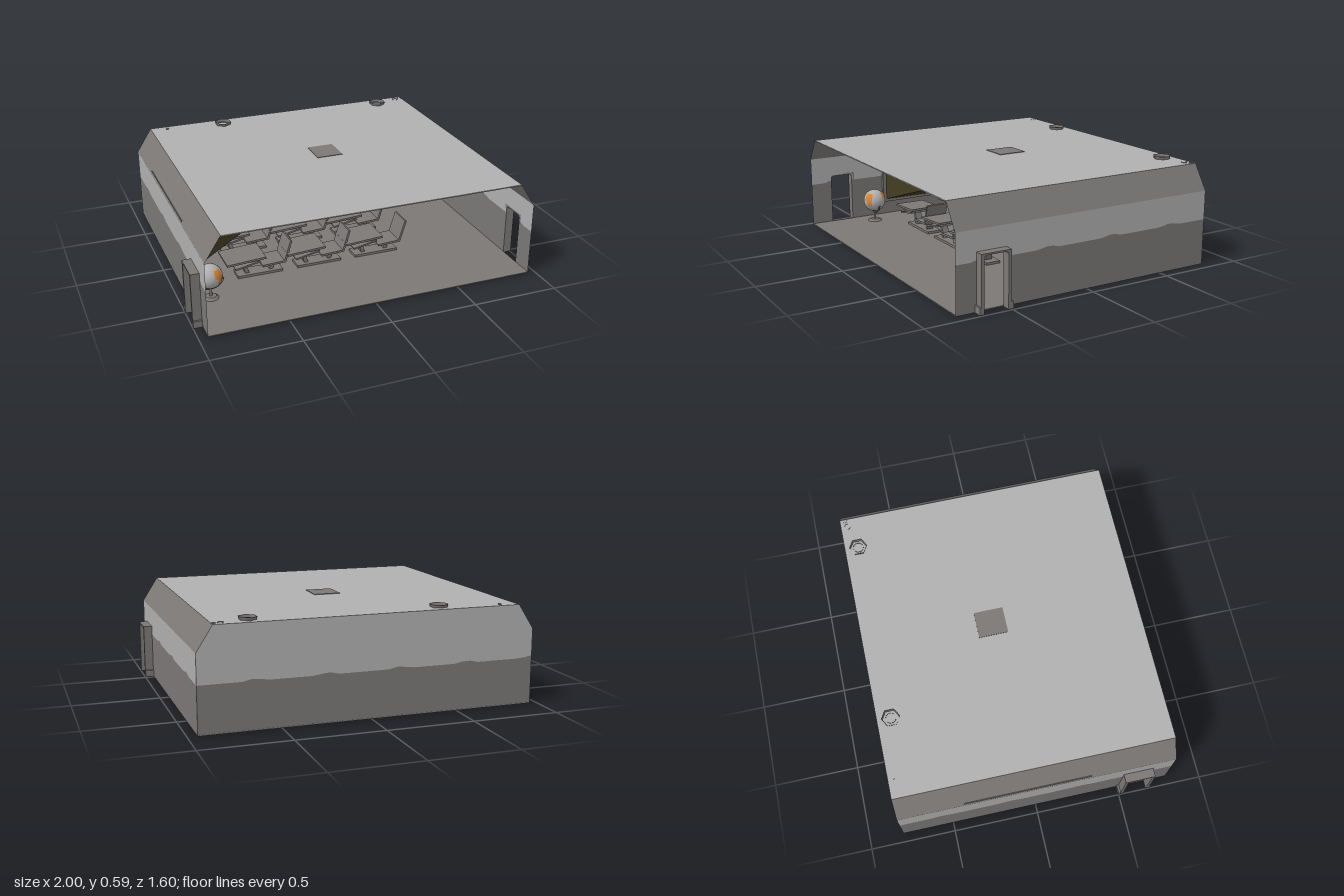
import * as THREE from 'three';

const mat = (name, color, side = THREE.FrontSide) => {
  const m = new THREE.MeshStandardMaterial({ color, side });
  m.name = name;
  return m;
};

export function createModel() {
  const light = mat('pale grey', 0xb0b0b0, THREE.DoubleSide);
  const dark = mat('warm grey', 0x7b7876, THREE.DoubleSide);
  const olive = mat('dark olive', 0x443d22);
  const orange = mat('orange', 0xd8832e);
  const green = mat('screen green', 0x2f7544);
  const room = new THREE.Group();
  room.name = 'classroom';

  const add = (name, geo, m, x = 0, y = 0, z = 0, parent = room) => {
    const mesh = new THREE.Mesh(geo, m);
    mesh.name = name;
    mesh.position.set(x, y, z);
    parent.add(mesh);
    return mesh;
  };
  // Box given by its limits on each axis
  const box = (name, m, x0, x1, y0, y1, z0, z1, parent = room) =>
    add(name, new THREE.BoxGeometry(x1 - x0, y1 - y0, z1 - z0), m,
      (x0 + x1) / 2, (y0 + y1) / 2, (z0 + z1) / 2, parent);
  const cyl = (name, m, r0, r1, h, x, y, z, parent = room, sides = 12) =>
    add(name, new THREE.CylinderGeometry(r0, r1, h, sides), m, x, y, z, parent);
  const flat = (pts) => new THREE.ShapeGeometry(new THREE.Shape(pts.map(p => new THREE.Vector2(...p))));
  const pipe = (name, pts, r, parent = room) => {
    const path = new THREE.CurvePath();
    const v = pts.map(p => new THREE.Vector3(...p));
    // Straight runs joined by rounded elbows
    let from = v[0];
    for (let i = 1; i < v.length - 1; i++) {
      const a = v[i].clone().add(v[i - 1].clone().sub(v[i]).setLength(r * 1.6));
      const b = v[i].clone().add(v[i + 1].clone().sub(v[i]).setLength(r * 1.6));
      path.add(new THREE.LineCurve3(from, a));
      path.add(new THREE.QuadraticBezierCurve3(a, v[i], b));
      from = b;
    }
    path.add(new THREE.LineCurve3(from, v[v.length - 1]));
    return add(name, new THREE.TubeGeometry(path, 48, r, 10), dark, 0, 0, 0, parent);
  };

  // Wavy paint line between two positions along a wall
  const paintLine = (a, b) => Array.from({ length: 41 }, (_, i) => {
    const u = a + (b - a) * i / 40;
    const bump = Math.max(0, Math.cos((u - 0.25) * Math.PI * 2 / 0.4) - 0.6);
    return [u, 0.264 + 0.03 * bump];
  });

  // Shell: floor, roof, chamfers and walls
  box('floor', dark, -0.95, 0.95, 0, 0.006, -0.8, 0.8);
  box('roof', light, -0.86, 0.86, 0.564, 0.57, -0.8, 0.8);
  add('backWallLower', flat([[-0.95, 0], [0.95, 0], ...paintLine(0.95, -0.95)]), dark, 0, 0, -0.799);
  add('backWallUpper', flat([...paintLine(-0.95, 0.95), [0.95, 0.43], [0.86, 0.57], [-0.86, 0.57], [-0.95, 0.43]]),
    light, 0, 0, -0.799);
  for (const s of [-1, 1]) {
    const wall = (name, pts, m) => add(name, flat(pts).rotateY(-Math.PI / 2), m, s * 0.95);
    wall('sideWallLowerBack', [[-0.8, 0], [0.525, 0], ...paintLine(0.525, -0.8)], dark);
    wall('sideWallLowerFront', [[0.665, 0], [0.8, 0], ...paintLine(0.8, 0.665)], dark);
    wall('sideWallUpper', [...paintLine(-0.8, 0.525), [0.525, 0.305], [0.665, 0.305],
      ...paintLine(0.665, 0.8), [0.8, 0.43], [-0.8, 0.43]], light);
    const slope = new THREE.PlaneGeometry(1.6, Math.hypot(0.09, 0.14));
    slope.rotateX(-Math.atan2(0.09, 0.14)).rotateY(s * Math.PI / 2);
    add('roofChamfer', slope, dark, s * 0.905, 0.5, 0);

    // Doorway frame standing proud of the wall
    const f = new THREE.Shape();
    f.moveTo(0.508, 0).lineTo(0.508, 0.315).lineTo(0.682, 0.315).lineTo(0.682, 0).lineTo(0.665, 0)
      .lineTo(0.665, 0.285).quadraticCurveTo(0.665, 0.306, 0.645, 0.306)
      .lineTo(0.545, 0.306).quadraticCurveTo(0.525, 0.306, 0.525, 0.285).lineTo(0.525, 0);
    const frame = new THREE.ExtrudeGeometry(f, { depth: 0.05, bevelEnabled: false });
    add('doorFrame', frame.rotateY(-Math.PI / 2), dark, s > 0 ? 1 : -0.95);
    for (const z of [0.495, 0.67])
      box('doorFoot', dark, s > 0 ? 0.95 : -1, s > 0 ? 1 : -0.95, 0, 0.04, z, z + 0.022);
  }

  // Projector hanging from the ceiling
  box('projectorMount', dark, -0.05, 0.105, 0.555, 0.573, -0.14, 0.03);
  const arm = cyl('projectorArm', dark, 0.055, 0.025, 0.09, 0.03, 0.515, -0.055, room, 4);
  arm.rotation.y = Math.PI / 4;
  const body = add('projector', new THREE.BoxGeometry(0.17, 0.06, 0.12), dark, 0.03, 0.46, -0.055);
  body.rotation.z = 0.25;
  const lens = cyl('projectorLens', dark, 0.03, 0.03, 0.04, -0.055, 0.445, -0.055);
  lens.rotation.z = Math.PI / 2;

  // Beam widening from the lens to the side wall
  const beamGeo = new THREE.BoxGeometry(1, 1, 1).toNonIndexed();
  const p = beamGeo.attributes.position;
  for (let i = 0; i < p.count; i++) {
    const wide = p.getX(i) < 0, up = p.getY(i) > 0, front = p.getZ(i) > 0;
    p.setXYZ(i, wide ? -0.92 : -0.05,
      wide ? (up ? 0.43 : 0.11) : (up ? 0.488 : 0.42),
      wide ? (front ? 0.29 : -0.4) : (front ? -0.02 : -0.09));
  }
  beamGeo.computeVertexNormals();
  add('projectionBeam', beamGeo, olive);
  box('wallScreen', dark, -0.945, -0.925, 0.09, 0.445, -0.42, 0.31);

  // Globe on a stand
  const globe = new THREE.Group();
  globe.name = 'globe';
  globe.position.set(-0.83, 0, 0.42);
  room.add(globe);
  cyl('globeBase', dark, 0.03, 0.045, 0.012, 0, 0.012, 0, globe, 16);
  cyl('globeStem', dark, 0.008, 0.008, 0.06, 0, 0.04, 0, globe, 8);
  const ring = add('globeBracket', new THREE.TorusGeometry(0.08, 0.005, 6, 24, Math.PI), dark, 0, 0.14, 0, globe);
  ring.rotation.z = Math.PI * 0.9;
  add('globeBall', new THREE.SphereGeometry(0.07, 24, 16), light, 0, 0.14, 0, globe);
  for (const [a, w, t, h] of [[1.75, 0.75, 0.75, 0.7], [2.0, 0.45, 1.45, 0.5], [3.6, 0.9, 0.7, 0.6], [5.4, 0.7, 1.1, 0.8]])
    add('globeLand', new THREE.SphereGeometry(0.0715, 10, 8, a, w, t, h), orange, 0, 0.14, 0, globe);

  // Pupil desks with attached chairs, facing the screen wall
  for (const z of [0.23, -0.08, -0.39]) for (const x of [-0.47, -0.11, 0.25]) {
    const desk = new THREE.Group();
    desk.name = 'schoolDesk';
    desk.position.set(x, 0, z);
    room.add(desk);
    const tilted = (name, w, h, d, px, py, angle) => {
      add(name, new THREE.BoxGeometry(w, h, d), dark, px, py, 0, desk).rotation.z = angle;
    };
    tilted('deskTop', 0.23, 0.012, 0.19, -0.12, 0.13, 0.06);
    tilted('deskTray', 0.15, 0.01, 0.17, -0.11, 0.1, 0.2);
    tilted('deskLeg', 0.022, 0.13, 0.04, -0.11, 0.06, 0.3);
    box('floorRail', dark, -0.16, 0.11, 0.006, 0.02, -0.045, 0.045, desk);
    tilted('chairLeg', 0.022, 0.07, 0.04, 0.05, 0.04, -0.2);
    tilted('chairSeat', 0.14, 0.012, 0.14, 0.05, 0.075, 0.05);
    tilted('chairBack', 0.012, 0.13, 0.14, 0.135, 0.14, -0.3);
  }

  // Bookcases along the back wall with leaning rows of books
  const bookcase = (x0, x1, top, split, rows) => {
    box('bookcaseBack', dark, x0, x1, 0, top, -0.79, -0.78);
    for (const x of [x0, split, x1]) box('bookcaseUpright', dark, x - 0.008, x + 0.008, 0, top, -0.79, -0.62);
    for (const y of [0.008, ...rows.slice(1).map(r => r - 0.014), top])
      box('bookcaseShelf', dark, x0, x1, y - 0.008, y + 0.008, -0.79, -0.62);
    for (const [a, b] of [[x0, split], [split, x1]]) rows.forEach((y, k) => {
      const n = 7, w = (b - a - 0.05) / n;
      for (let i = 0; i < n; i++) {
        const h = 0.085 + 0.006 * ((i * 3 + k) % 3);
        const book = add('book', new THREE.BoxGeometry(w * 0.97, h, 0.12),
          (i * 2 + k * 3) % 7 === 1 ? orange : olive, a + 0.025 + w * (i + 0.5), y + h / 2, -0.69);
        book.rotation.z = -0.06;
        // Worn patch on some spines
        if ((i + k) % 3 === 0) box('bookLabel', orange, -w * 0.3, w * 0.3, -0.03, 0.01, 0.06, 0.063, book);
      }
    });
  };
  bookcase(-0.46, -0.06, 0.36, -0.25, [0.02, 0.105, 0.2]);
  bookcase(0.02, 0.52, 0.41, 0.285, [0.02, 0.145, 0.28]);

  // Computer desk in the corner
  box('computerDesk', dark, 0.54, 0.82, 0, 0.16, -0.78, -0.5);
  box('monitorCase', dark, 0.56, 0.8, 0.16, 0.33, -0.76, -0.52);
  box('monitorBezel', dark, 0.575, 0.745, 0.17, 0.325, -0.52, -0.505);
  box('monitorScreen', green, 0.587, 0.733, 0.182, 0.315, -0.505, -0.498);
  box('sideCabinet', dark, 0.82, 0.94, 0, 0.2, -0.78, -0.48);
  const oval = add('cabinetPanel', new THREE.CircleGeometry(0.028, 20), light, 0.85, 0.07, -0.476);
  oval.scale.y = 1.9;
  for (const x of [0.595, 0.685]) box('wallLamp', orange, x - 0.008, x + 0.008, 0.36, 0.43, -0.79, -0.782);

  // Ventilation and service pipes
  pipe('ceilingDuct', [[-0.41, 0.575, -0.72], [-0.41, 0.505, -0.72], [0.66, 0.505, -0.72], [0.66, 0.575, -0.72]], 0.03);
  for (const x of [-0.41, 0.66])
    add('ductCollar', new THREE.CylinderGeometry(0.052, 0.045, 0.03, 6, 1, true), dark, x, 0.572, -0.72);
  pipe('leftPipe', [[-0.76, 0.572, -0.76], [-0.76, 0.465, -0.76], [-0.66, 0.465, -0.76]], 0.01);
  pipe('rightPipe', [[0.81, 0.572, -0.76], [0.81, 0.38, -0.76], [0.72, 0.36, -0.76], [0.72, 0.32, -0.76]], 0.018);
  pipe('rightConduit', [[0.85, 0.572, -0.77], [0.85, 0.4, -0.77], [0.85, 0.19, -0.77]], 0.012);
  box('ventBox', dark, -0.68, -0.54, 0.44, 0.5, -0.79, -0.7);
  box('ventGrille', light, -0.64, -0.58, 0.455, 0.485, -0.7, -0.695);
  box('wallNotice', light, -0.56, -0.48, 0.13, 0.22, -0.79, -0.785);
  box('noticeTag', orange, -0.51, -0.49, 0.15, 0.17, -0.785, -0.782);

  // Ceiling lamps
  for (const x of [-0.235, 0.265]) for (const z of [-0.4, 0.35])
    box('ceilingLamp', dark, x - 0.065, x + 0.065, 0.55, 0.565, z - 0.12, z + 0.12);

  return room;
}
